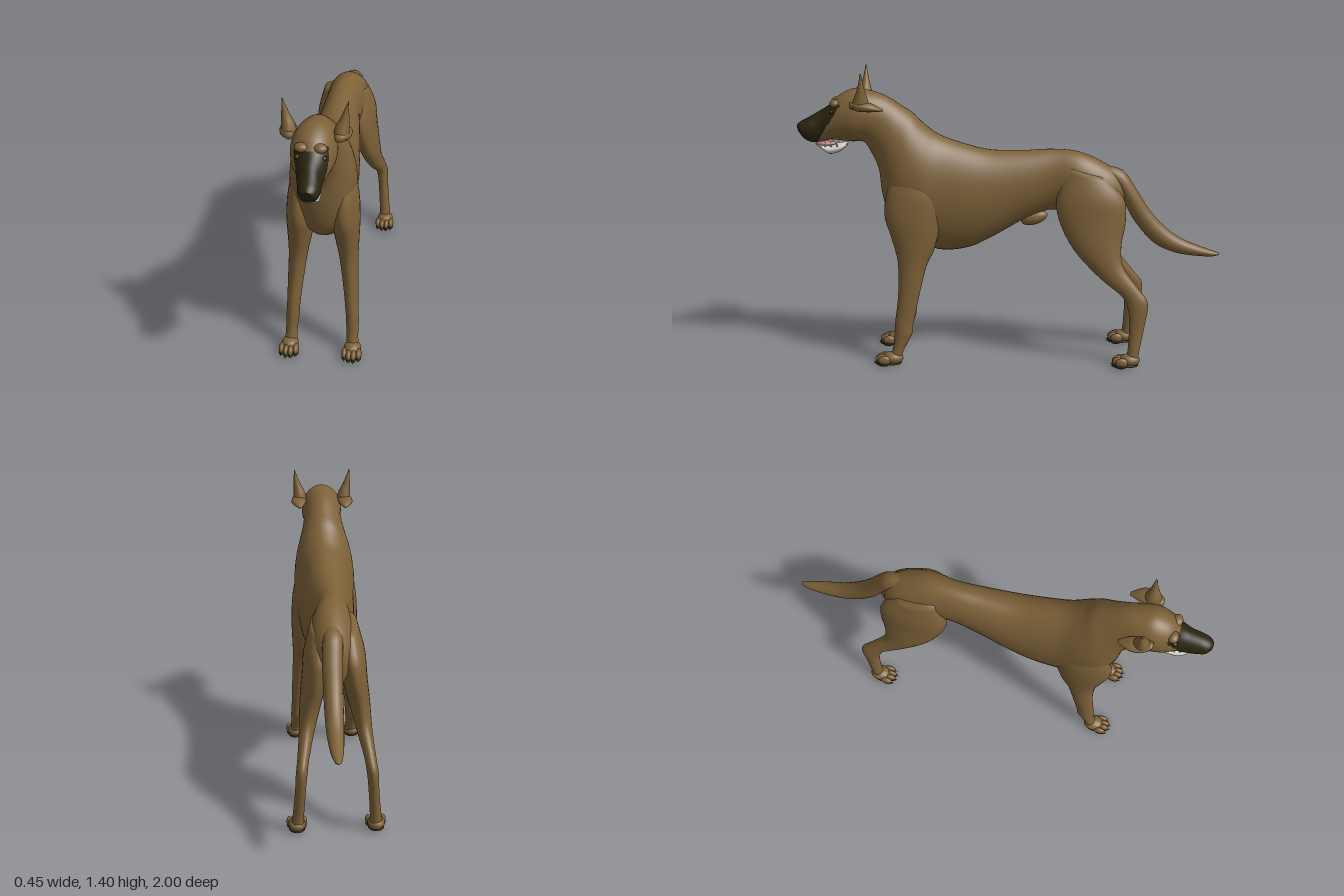
import * as THREE from 'three';

const mat = (name, color) => Object.assign(new THREE.MeshStandardMaterial({ color }), { name });
const coat = mat('brown coat', 0x7d6138);
const dark = mat('dark mask', 0x2a240e);
const white = mat('jaw white', 0xd6d1c8);
const pink = mat('tongue pink', 0xc07f80);

// Smooth skin through oval sections: [z, y of upper edge, z, y of lower edge, half width, centre x]
function loft(rows, { steps = 4, sides = 28, isDark = null } = {}) {
  const at = (i) => rows[Math.min(Math.max(i, 0), rows.length - 1)];
  const cr = (a, b, c, d, t) =>
    0.5 * (2 * b + (c - a) * t + (2 * a - 5 * b + 4 * c - d) * t * t + (3 * b - a - 3 * c + d) * t ** 3);
  const pos = [];
  const total = (rows.length - 1) * steps + 1;
  const centres = [];
  for (let n = 0; n < total; n++) {
    const i = Math.min(Math.floor(n / steps), rows.length - 2);
    const t = n / steps - i;
    const [tz, ty, bz, by, w, x] = [0, 1, 2, 3, 4, 5].map((k) =>
      cr(at(i - 1)[k] ?? 0, at(i)[k] ?? 0, at(i + 1)[k] ?? 0, at(i + 2)[k] ?? 0, t));
    centres.push([x, (ty + by) / 2, (tz + bz) / 2]);
    for (let s = 0; s < sides; s++) {
      const a = (s / sides) * Math.PI * 2;
      const c = Math.cos(a) / 2;
      pos.push(x + Math.sin(a) * w, (ty + by) / 2 + c * (ty - by), (tz + bz) / 2 + c * (tz - bz));
    }
  }
  const end = total * sides;
  pos.push(...centres[0], ...centres[total - 1]);
  const tris = [];
  for (let s = 0; s < sides; s++) {
    const q = (s + 1) % sides;
    for (let n = 0; n < total - 1; n++) {
      const a = n * sides + s, b = n * sides + q;
      tris.push([a, b, b + sides], [a, b + sides, a + sides]);
    }
    tris.push([end, q, s], [end + 1, end - sides + s, end - sides + q]);
  }
  // Turn the faces outward whichever way the sections run
  const v = (i) => new THREE.Vector3().fromArray(pos, i * 3);
  let volume = 0;
  for (const [a, b, c] of tris) volume += v(a).dot(v(b).cross(v(c)));
  if (volume < 0) tris.forEach((t) => t.reverse());
  const parts = [[], []];
  for (const t of tris) {
    const m = v(t[0]).add(v(t[1])).add(v(t[2])).divideScalar(3);
    parts[isDark && isDark(m) ? 1 : 0].push(...t);
  }
  const g = new THREE.BufferGeometry();
  g.setAttribute('position', new THREE.Float32BufferAttribute(pos, 3));
  g.setIndex(parts.flat());
  g.addGroup(0, parts[0].length, 0);
  if (parts[1].length) g.addGroup(parts[0].length, parts[1].length, 1);
  g.computeVertexNormals();
  return g;
}

export function createModel() {
  const root = new THREE.Group();
  root.name = 'dog';
  const add = (name, geometry, material, parent = root) => {
    const m = new THREE.Mesh(geometry, material);
    m.name = name;
    parent.add(m);
    return m;
  };
  const ball = (name, material, p, r, parent = root) => {
    const m = add(name, new THREE.SphereGeometry(1, 20, 14), material, parent);
    m.position.set(...p);
    m.scale.set(...r);
    return m;
  };

  // Trunk, neck and head in one skin, with the dark muzzle as a second material
  add('bodyAndHead', loft([
    [-0.545, 0.83, -0.54, 0.74, 0.03, 0.01], [-0.52, 0.90, -0.53, 0.68, 0.065, 0.01],
    [-0.45, 0.955, -0.45, 0.68, 0.095, 0.01], [-0.33, 1.01, -0.33, 0.70, 0.1, 0.01],
    [-0.20, 1.022, -0.20, 0.73, 0.086], [-0.05, 1.015, -0.07, 0.685, 0.1],
    [0.10, 1.02, 0.08, 0.60, 0.12], [0.22, 1.05, 0.20, 0.545, 0.132],
    [0.33, 1.09, 0.34, 0.535, 0.14], [0.40, 1.14, 0.47, 0.59, 0.15],
    [0.45, 1.19, 0.565, 0.68, 0.143], [0.50, 1.225, 0.605, 0.81, 0.122],
    [0.545, 1.255, 0.62, 0.93, 0.104], [0.59, 1.28, 0.66, 1.02, 0.094],
    [0.65, 1.30, 0.69, 1.06, 0.096], [0.72, 1.312, 0.74, 1.06, 0.1],
    [0.79, 1.285, 0.79, 1.065, 0.088], [0.845, 1.235, 0.84, 1.07, 0.066, 0.005],
    [0.89, 1.207, 0.89, 1.06, 0.054, 0.005], [0.94, 1.178, 0.93, 1.058, 0.049, 0.01],
    [0.98, 1.157, 0.965, 1.075, 0.041, 0.01], [0.999, 1.14, 0.985, 1.1, 0.024, 0.01],
  ], { steps: 6, sides: 44, isDark: (p) => p.y < 1.24 && p.z > 0.80 + (1.225 - p.y) * 0.63 }), [coat, dark]);

  // Tail
  add('tail', loft([
    [-0.42, 0.95, -0.44, 0.85, 0.04, 0.01], [-0.53, 0.925, -0.50, 0.83, 0.046, 0.015],
    [-0.60, 0.83, -0.535, 0.78, 0.046, 0.02], [-0.66, 0.735, -0.59, 0.68, 0.044, 0.02],
    [-0.73, 0.655, -0.68, 0.575, 0.042, 0.02], [-0.81, 0.595, -0.78, 0.525, 0.038, 0.02],
    [-0.90, 0.555, -0.89, 0.506, 0.03, 0.02], [-0.97, 0.53, -0.97, 0.503, 0.018, 0.02],
    [-1.0, 0.52, -1.0, 0.51, 0.006, 0.02],
  ], { sides: 20 }), coat);

  // Lower jaw, teeth and tongue
  add('lowerJaw', loft([
    [0.765, 1.058, 0.765, 1.04, 0.032], [0.80, 1.052, 0.80, 1.012, 0.042],
    [0.85, 1.045, 0.85, 1.0, 0.041], [0.89, 1.045, 0.885, 1.025, 0.032],
    [0.915, 1.052, 0.912, 1.042, 0.014],
  ], { sides: 20 }), white);
  ball('tongue', pink, [0.005, 1.05, 0.865], [0.026, 0.011, 0.05]);
  for (let i = 0; i < 11; i++) {
    const a = (i / 10) * Math.PI;
    const tooth = add('tooth', new THREE.ConeGeometry(0.005, 0.02, 6), white);
    tooth.position.set(0.005 + Math.cos(a) * 0.036, 1.05, 0.81 + Math.sin(a) * 0.095);
  }

  // Underside bulge
  const sheath = ball('bellyBulge', coat, [0.01, 0.69, -0.115], [0.03, 0.032, 0.065]);
  sheath.rotation.x = 0.3;

  const foreLeg = [
    [0.51, 1.0, 0.37, 0.96, 0.03, 0.085], [0.57, 0.86, 0.33, 0.82, 0.055, 0.1],
    [0.59, 0.73, 0.33, 0.68, 0.064, 0.102], [0.56, 0.62, 0.36, 0.555, 0.055, 0.108],
    [0.53, 0.50, 0.395, 0.48, 0.044, 0.116], [0.53, 0.35, 0.43, 0.34, 0.036, 0.128],
    [0.545, 0.22, 0.46, 0.20, 0.03, 0.137], [0.55, 0.16, 0.467, 0.15, 0.03, 0.14],
    [0.557, 0.09, 0.503, 0.08, 0.027, 0.143], [0.575, 0.03, 0.52, 0.03, 0.03, 0.145],
  ];
  const hindLeg = [
    [-0.27, 0.95, -0.45, 0.90, 0.04, 0.065], [-0.22, 0.81, -0.535, 0.80, 0.063, 0.075],
    [-0.23, 0.70, -0.545, 0.69, 0.06, 0.088], [-0.30, 0.56, -0.525, 0.58, 0.05, 0.11],
    [-0.42, 0.43, -0.535, 0.48, 0.036, 0.13], [-0.53, 0.34, -0.61, 0.375, 0.027, 0.15],
    [-0.56, 0.27, -0.652, 0.31, 0.026, 0.16], [-0.565, 0.20, -0.638, 0.20, 0.024, 0.166],
    [-0.56, 0.09, -0.615, 0.08, 0.026, 0.175], [-0.55, 0.03, -0.61, 0.03, 0.03, 0.178],
  ];
  const ear = [
    [0.735, 1.24, 0.645, 1.24, 0.034, 0.111], [0.72, 1.28, 0.655, 1.28, 0.03, 0.114],
    [0.70, 1.33, 0.668, 1.33, 0.017, 0.126], [0.685, 1.40, 0.68, 1.40, 0.001, 0.139],
  ];
  const earFold = [
    [0.74, 1.262, 0.74, 1.235, 0.014, 0.105], [0.70, 1.268, 0.70, 1.222, 0.034, 0.115],
    [0.64, 1.26, 0.64, 1.22, 0.035, 0.118], [0.585, 1.23, 0.585, 1.222, 0.008, 0.115],
  ];

  // Paw with four toes, claws and a dark sole
  const paw = (name, x, z) => {
    const g = new THREE.Group();
    g.name = name;
    g.position.set(x, 0, z);
    root.add(g);
    ball('pad', coat, [0, 0.034, -0.012], [0.04, 0.031, 0.05], g);
    ball('sole', dark, [0, 0.01, 0], [0.038, 0.01, 0.055], g);
    for (const t of [-1.5, -0.5, 0.5, 1.5]) {
      const front = Math.abs(t) < 1 ? 0.04 : 0.026;
      ball('toe', coat, [t * 0.022, 0.03, front], [0.014, 0.023, 0.03], g);
      ball('toePad', dark, [t * 0.022, 0.011, front + 0.004], [0.012, 0.011, 0.026], g);
      const claw = add('claw', new THREE.ConeGeometry(0.006, 0.024, 8), dark, g);
      claw.position.set(t * 0.022, 0.014, front + 0.029);
      claw.rotation.x = 2.0;
    }
  };

  // Paired parts, mirrored left and right
  for (const [side, sx] of [['left', 1], ['right', -1]]) {
    const mirror = (rows) => rows.map((r) => [...r.slice(0, 5), r[5] * sx]);
    add(side + 'ForeLeg', loft(mirror(foreLeg)), coat);
    add(side + 'HindLeg', loft(mirror(hindLeg)), coat);
    add(side + 'Ear', loft(mirror(ear), { sides: 16 }), coat);
    add(side + 'EarFold', loft(mirror(earFold), { sides: 16 }), coat);
    ball(side + 'Eye', dark, [sx * 0.056, 1.207, 0.828], [0.013, 0.012, 0.014]);
    ball(side + 'Brow', coat, [sx * 0.04, 1.245, 0.815], [0.03, 0.02, 0.025]);
    paw(side + 'ForePaw', sx * 0.147, 0.572);
    paw(side + 'HindPaw', sx * 0.18, -0.556);
  }
  return root;
}
